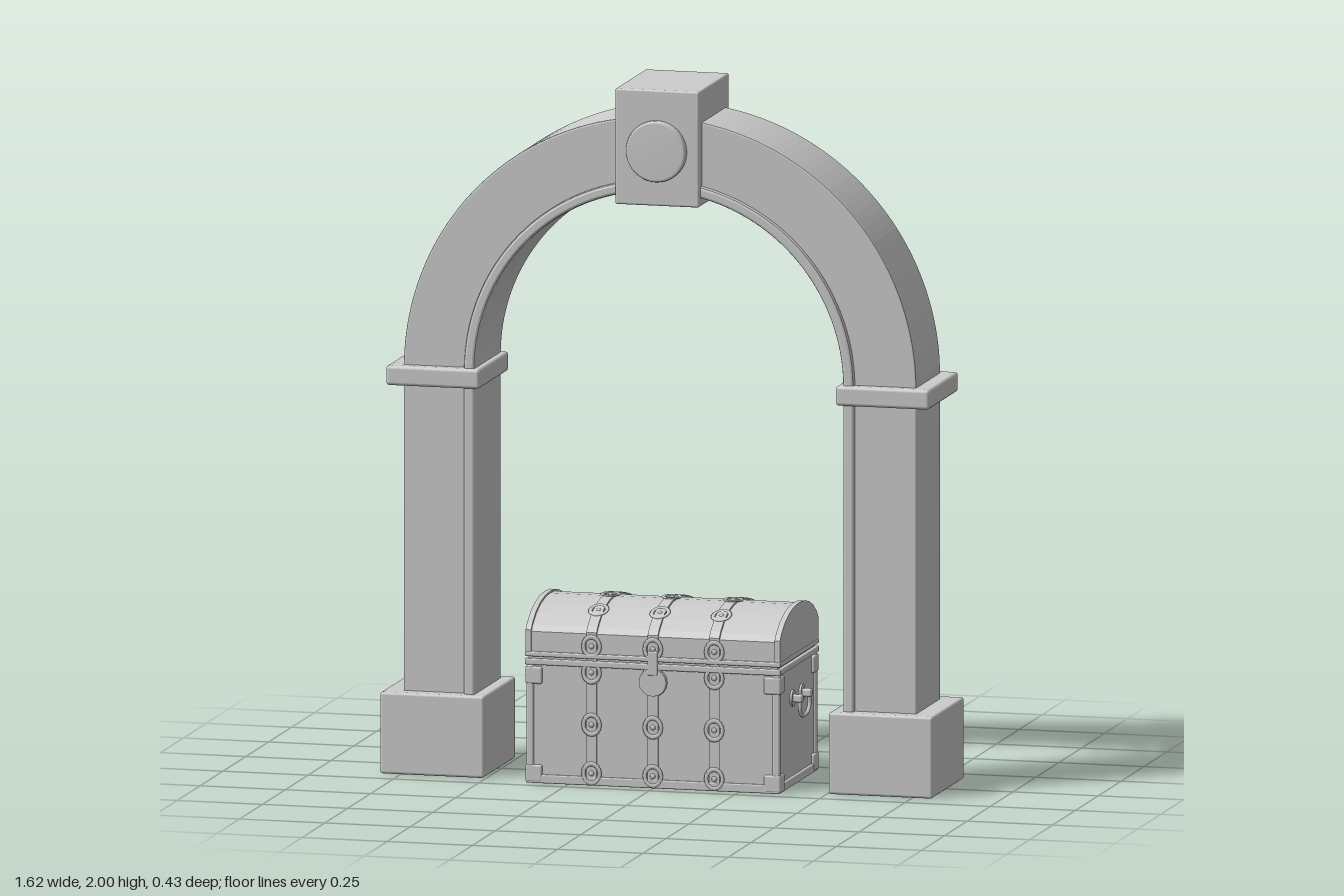
import * as THREE from 'three';
import { RoundedBoxGeometry } from 'three/addons/geometries/RoundedBoxGeometry.js';

const stone = new THREE.MeshStandardMaterial({ color: 0xcccccc });
stone.name = 'plain grey';

function add(parent, name, geometry, x = 0, y = 0, z = 0) {
  const mesh = new THREE.Mesh(geometry, stone);
  mesh.name = name;
  mesh.position.set(x, y, z);
  parent.add(mesh);
  return mesh;
}

// Box given by its lower and upper corners, with softened edges
function block(parent, name, [x0, y0, z0], [x1, y1, z1], r = 0.008) {
  return add(parent, name, new RoundedBoxGeometry(x1 - x0, y1 - y0, z1 - z0, 2, r),
    (x0 + x1) / 2, (y0 + y1) / 2, (z0 + z1) / 2);
}

// Half ring standing on the imposts, centred on z = 0
function halfRing(inner, outer, depth, bevel) {
  const shape = new THREE.Shape();
  shape.absarc(0, 0, outer - bevel, 0, Math.PI, false);
  shape.absarc(0, 0, inner + bevel, Math.PI, 0, true);
  shape.closePath();
  const geometry = new THREE.ExtrudeGeometry(shape, {
    depth: depth - 2 * bevel, curveSegments: 48,
    bevelThickness: bevel, bevelSize: bevel, bevelSegments: 2,
  });
  return geometry.translate(0, 0, bevel - depth / 2);
}

// Domed chest section in z and y, grown by g, extruded along x
function chestSlice(width, g, bottom) {
  const half = [[0.205, bottom], [0.205, 0.435], [0.19, 0.452], [0.15, 0.479], [0.10, 0.498], [0.05, 0.508]];
  const points = half.map(([z, y]) => new THREE.Vector2(z + g, y === bottom ? y : y + g));
  const mirrored = points.map((p) => new THREE.Vector2(-p.x, p.y)).reverse();
  const shape = new THREE.Shape([...points, new THREE.Vector2(0, 0.511 + g), ...mirrored]);
  return new THREE.ExtrudeGeometry(shape, { depth: width, bevelEnabled: false })
    .translate(0, 0, -width / 2).rotateY(Math.PI / 2);
}

function buildPillar(side) {
  const pillar = new THREE.Group();
  pillar.name = side > 0 ? 'leftPillar' : 'rightPillar';
  const part = (name, a, b, y0, y1, z, r) => {
    const xs = [a * side, b * side].sort((p, q) => p - q);
    block(pillar, name, [xs[0], y0, -z], [xs[1], y1, z], r);
  };
  part('pillarBase', 0.505, 0.81, 0, 0.235, 0.175);
  part('pillarShaft', 0.56, 0.752, 0.22, 1.13, 0.132, 0.005);
  part('pillarInnerTrim', 0.54, 0.572, 0.22, 1.13, 0.148, 0.008);
  part('pillarImpost', 0.522, 0.797, 1.115, 1.172, 0.162, 0.01);
  return pillar;
}

function buildArch() {
  const arch = new THREE.Group();
  arch.name = 'arch';
  add(arch, 'archRing', halfRing(0.555, 0.752, 0.264, 0.005), 0, 1.165);
  add(arch, 'archInnerTrim', halfRing(0.54, 0.572, 0.296, 0.008), 0, 1.165);
  block(arch, 'keystone', [-0.123, 1.667, -0.165], [0.123, 2, 0.165], 0.006);
  // Round boss on both faces of the keystone
  const profile = [[0, 0.185], [0.08, 0.185], [0.086, 0.182], [0.088, 0.176], [0.088, 0.15]]
    .map(([r, h]) => new THREE.Vector2(r, h)).reverse();
  for (const s of [1, -1]) {
    add(arch, 'keystoneBoss', new THREE.LatheGeometry(profile, 40), 0, 1.825, 0).rotation.x = s * Math.PI / 2;
  }
  return arch;
}

function buildChest() {
  const chest = new THREE.Group();
  chest.name = 'chest';
  block(chest, 'chestBody', [-0.365, 0.004, -0.205], [0.365, 0.36, 0.205], 0.005);
  add(chest, 'chestLid', chestSlice(0.73, 0, 0.35));
  block(chest, 'lidRim', [-0.375, 0.364, -0.213], [0.375, 0.378, 0.213], 0.004);
  block(chest, 'bodyRim', [-0.375, 0.34, -0.213], [0.375, 0.358, 0.213], 0.004);
  block(chest, 'bottomFrame', [-0.373, 0, -0.211], [0.373, 0.025, 0.211], 0.004);

  // Hoops over the box and domed lid
  for (const x of [-0.18, 0, 0.18]) add(chest, 'strap', chestSlice(0.03, 0.005, 0.003), x);
  for (const s of [-1, 1]) add(chest, 'endHoop', chestSlice(0.016, 0.005, 0.365), s * 0.365);

  // Corner posts and corner caps
  for (const sx of [-1, 1]) for (const sz of [-1, 1]) {
    add(chest, 'cornerPost', new RoundedBoxGeometry(0.022, 0.33, 0.022, 2, 0.006), sx * 0.361, 0.175, sz * 0.199);
    for (const y of [0.028, 0.31]) {
      add(chest, 'cornerCap', new RoundedBoxGeometry(0.05, 0.05, 0.05, 2, 0.006), sx * 0.35, y, sz * 0.187);
    }
  }

  // Ring fittings with a central stud; tilt turns them onto the lid
  const ring = new THREE.TorusGeometry(0.024, 0.006, 6, 16).scale(1, 1.15, 0.5);
  const stud = new THREE.SphereGeometry(0.008, 8, 6).scale(1, 1, 0.6);
  const fitting = (x, y, z, tilt) => {
    const group = new THREE.Group();
    group.name = 'ringFitting';
    add(group, 'ring', ring);
    add(group, 'stud', stud);
    group.position.set(x, y, z);
    group.rotation.x = tilt;
    chest.add(group);
  };
  for (const x of [-0.18, 0, 0.18]) {
    for (const s of [1, -1]) {
      for (const y of [0.035, 0.175, 0.325, 0.4]) fitting(x, y, s * 0.21, 0);
      fitting(x, 0.492, s * 0.13, -s * 1.2);
    }
    fitting(x, 0.516, 0, Math.PI / 2);
  }

  // Lock plate
  add(chest, 'lockPlate', new THREE.CylinderGeometry(0.04, 0.042, 0.012, 16), 0, 0.305, 0.209).rotation.x = Math.PI / 2;
  add(chest, 'lockHasp', new RoundedBoxGeometry(0.03, 0.07, 0.012, 2, 0.004), 0, 0.36, 0.211);

  // Drop handles on both ends
  const u = new THREE.CatmullRomCurve3([[0.25, -0.05], [0.215, -0.05], [0.198, -0.03], [0.195, 0],
    [0.198, 0.03], [0.215, 0.05], [0.25, 0.05]].map(([y, z]) => new THREE.Vector3(0, y, z)));
  const bail = new THREE.TubeGeometry(u, 24, 0.006, 6);
  for (const s of [-1, 1]) {
    add(chest, 'handle', bail, s * 0.389);
    for (const z of [-0.05, 0.05]) {
      add(chest, 'handleMount', new RoundedBoxGeometry(0.034, 0.022, 0.022, 2, 0.005), s * 0.38, 0.25, z);
      add(chest, 'handlePlate', new THREE.CylinderGeometry(0.024, 0.024, 0.008, 12), s * 0.367, 0.25, z).rotation.z = Math.PI / 2;
    }
  }
  return chest;
}

export function createModel() {
  const model = new THREE.Group();
  model.name = 'archwayWithChest';
  model.add(buildPillar(1), buildPillar(-1), buildArch(), buildChest());
  return model;
}
